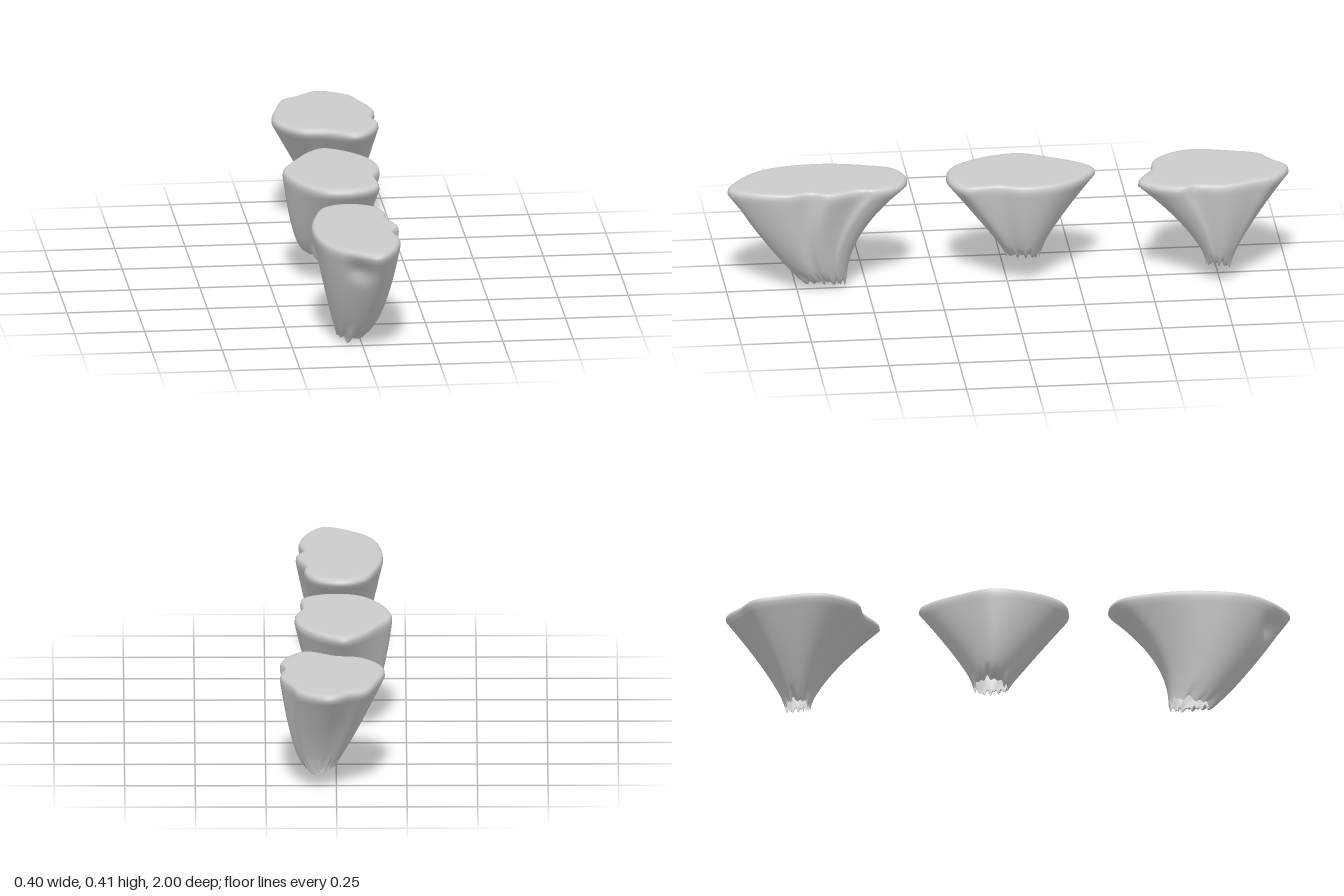
import * as THREE from 'three';

const SEGMENTS = 96, RINGS = 28, RIM_Y = 0.388;
const { lerp } = THREE.MathUtils;

// Shallow hollow in the front face of the first rock
const HOLLOW = new THREE.Vector3(-0.03, 0.33, 0.95);

// A rock with a flat top that narrows to a broken, open tip.
// outline: top rim, [x, z] in hundredths
// tip: the tip's [xMin, xMax, zMin, zMax] at height tipY
// flare: how each of those sides widens upward (below 1 bulges, above 1 is hollow)
function rock(name, outline, tipY, tip, flare, material) {
  const curve = new THREE.CatmullRomCurve3(outline.map(([x, z]) => new THREE.Vector3(x / 100, 0, z / 100)), true);
  const points = curve.getPoints(SEGMENTS).slice(0, SEGMENTS);
  const { min, max } = new THREE.Box3().setFromPoints(points);
  const rim = [min.x, max.x, min.z, max.z];
  const positions = [], index = [];

  // Flank: the rim outline eases into an oval toward the tip
  for (let r = 0; r < RINGS; r++) {
    const s = (r / (RINGS - 1)) ** 1.5;
    const side = rim.map((end, k) => lerp(tip[k], end, s ** flare[k]));
    const oval = 0.65 * (1 - s);
    points.forEach((p, i) => {
      const u = (p.x - min.x) / (max.x - min.x), v = (p.z - min.z) / (max.z - min.z);
      const angle = Math.atan2(v - 0.5, u - 0.5);
      const x = lerp(side[0], side[1], lerp(u, 0.5 + 0.5 * Math.cos(angle), oval));
      const z = lerp(side[2], side[3], lerp(v, 0.5 + 0.5 * Math.sin(angle), oval));
      // Jagged broken edge, fading out above the tip
      const teeth = 0.012 * Math.sin(i * 0.9) * Math.sin(i * 0.23) + 0.008 * Math.sin(angle * 2 + 1);
      const y = lerp(tipY, RIM_Y, s) + teeth * Math.max(0, 1 - s * 6);
      const dent = 0.03 * Math.exp(-HOLLOW.distanceToSquared(new THREE.Vector3(x, y, z)) / 0.002);
      positions.push(x, y, z - dent);
    });
  }

  // Rounded rim, then the flat top closing on its centre
  const cx = (min.x + max.x) / 2, cz = (min.z + max.z) / 2;
  const bevel = [[0.401, 0.993], [0.408, 0.97], [0.411, 0.93], [0.412, 0.85]];
  for (const [y, scale] of bevel) {
    for (const p of points) positions.push(lerp(cx, p.x, scale), y, lerp(cz, p.z, scale));
  }
  const rows = RINGS + bevel.length;
  for (let r = 0; r < rows - 1; r++) {
    for (let i = 0; i < SEGMENTS; i++) {
      const a = r * SEGMENTS + i, b = r * SEGMENTS + (i + 1) % SEGMENTS;
      index.push(a, a + SEGMENTS, b, b, a + SEGMENTS, b + SEGMENTS);
    }
  }
  const centre = rows * SEGMENTS, last = centre - SEGMENTS;
  positions.push(cx, 0.412, cz);
  for (let i = 0; i < SEGMENTS; i++) index.push(centre, last + (i + 1) % SEGMENTS, last + i);

  const geometry = new THREE.BufferGeometry();
  geometry.setAttribute('position', new THREE.Float32BufferAttribute(positions, 3));
  geometry.setIndex(index);
  geometry.computeVertexNormals();
  const mesh = new THREE.Mesh(geometry, material);
  mesh.name = name;
  return mesh;
}

export function createModel() {
  const group = new THREE.Group();
  group.name = 'floatingRocks';
  // The tips are open, so both sides show
  const material = new THREE.MeshStandardMaterial({ color: 0xcccccc, side: THREE.DoubleSide });

  // Long rock with a notched left side
  group.add(rock('frontRock',
    [[-2, 35.5], [7, 39], [11, 48], [10.5, 53], [14, 65], [11.5, 71], [13, 80],
      [9.5, 93], [4, 100], [-6, 95], [-14, 85], [-17, 65], [-14, 48], [-10, 39]],
    0.02, [-0.085, 0.005, 0.57, 0.72], [0.9, 0.48, 2.1, 0.85], material));

  // Short rock with a pointed back
  group.add(rock('middleRock',
    [[-3, -31.5], [5, -27], [13, -16], [14.5, -4], [12, 4], [12, 16],
      [5, 21], [-7, 20.5], [-15, 12], [-20, -5], [-15, -17], [-8, -28]],
    0.1, [-0.09, 0.03, -0.12, 0], [0.34, 0.52, 1.22, 1.03], material));

  // Angular rock leaning to the left
  group.add(rock('backRock',
    [[2, -100], [13, -94], [16, -87], [20, -75], [18.5, -65], [20, -60], [17, -51],
      [11, -45.5], [0, -51], [-9, -53], [-17, -65], [-14, -83], [-11, -91], [-5, -95]],
    0.068, [0.01, 0.1, -0.79, -0.7], [0.9, 0.5, 1.28, 1.45], material));
  return group;
}
